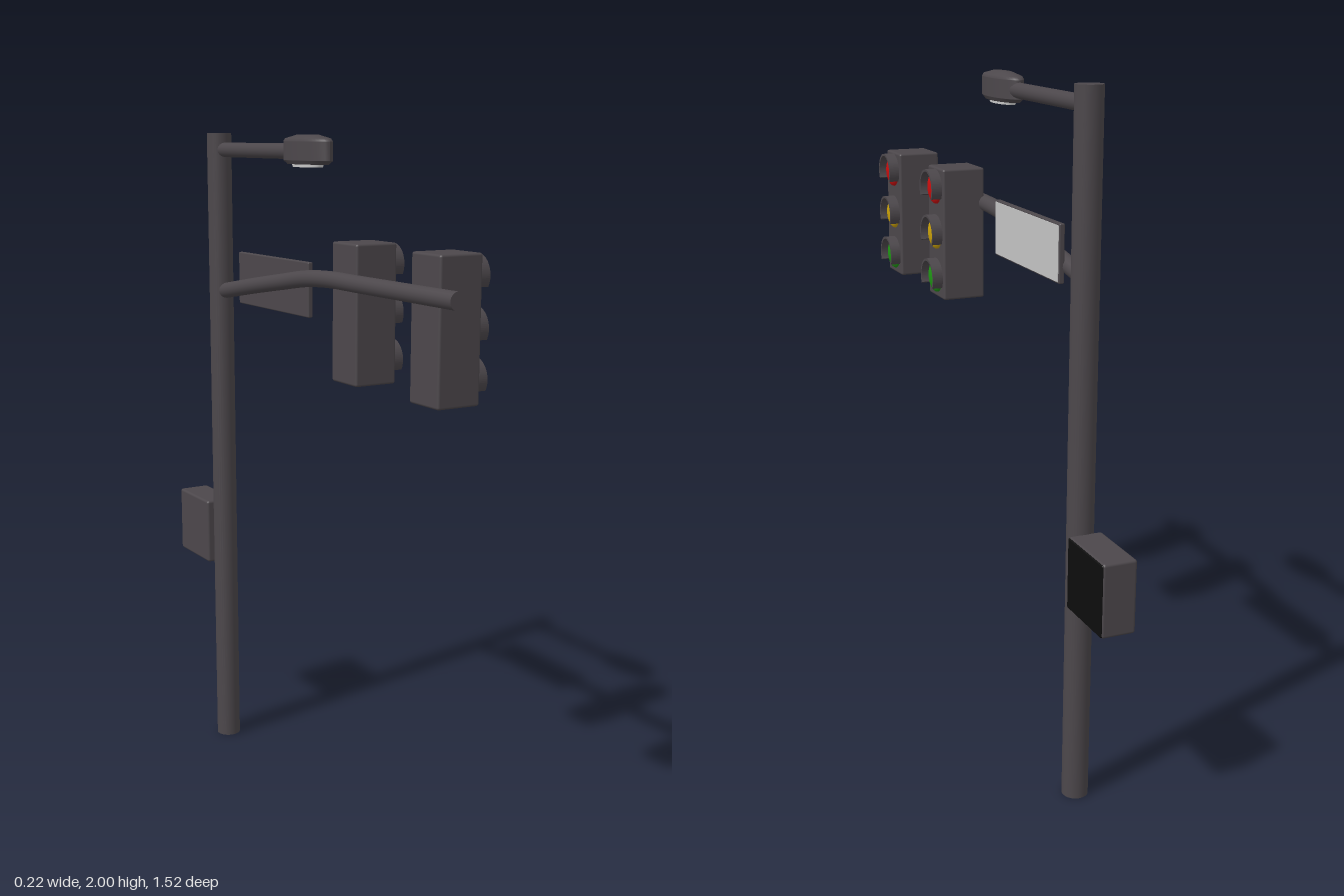
import * as THREE from 'three';
import { RoundedBoxGeometry } from 'three/addons/geometries/RoundedBoxGeometry.js';

const X = -0.06;        // line of the pole and both arms
const POLE_Z = -0.52;

const paint = (name, color) => {
  const m = new THREE.MeshStandardMaterial({ color });
  m.name = name;
  return m;
};

function add(parent, name, geometry, material, x = 0, y = 0, z = 0) {
  const mesh = new THREE.Mesh(geometry, material);
  mesh.name = name;
  mesh.position.set(x, y, z);
  parent.add(mesh);
  return mesh;
}

// Signal head facing local +z
function signalHead(mats) {
  const head = new THREE.Group();
  add(head, 'signalHousing', new RoundedBoxGeometry(0.13, 0.39, 0.13, 2, 0.007), mats.metal);

  // Hood: a ring open at the bottom
  const a0 = -Math.PI * 0.17, a1 = Math.PI * 1.17;
  const ring = new THREE.Shape();
  ring.absarc(0, 0, 0.055, a0, a1, false);
  ring.absarc(0, 0, 0.048, a1, a0, true);
  ring.closePath();
  const hood = new THREE.ExtrudeGeometry(ring, { depth: 0.034, bevelEnabled: false, curveSegments: 24 });

  // Shallow domed lens
  const dome = new THREE.SphereGeometry(0.048, 28, 8, 0, Math.PI * 2, 0, Math.PI / 2);
  dome.rotateX(Math.PI / 2);
  dome.scale(1, 1, 0.4);

  [['red', 0.135], ['yellow', 0], ['green', -0.132]].forEach(([colour, y]) => {
    add(head, colour + 'Hood', hood, mats.metal, 0, y, 0.062);
    add(head, colour + 'Lens', dome, mats[colour], 0, y, 0.065);
  });
  return head;
}

export function createModel() {
  const model = new THREE.Group();
  model.name = 'trafficSignalPole';
  const mats = {
    metal: paint('dark metal', 0x4c474b),
    black: paint('black panel', 0x0d0d0d),
    sign: paint('sign grey', 0xc4c4c4),
    lamp: paint('lamp glass', 0xdcdcdc),
    red: paint('signal red', 0xcc0e0e),
    yellow: paint('signal yellow', 0xcca208),
    green: paint('signal green', 0x1f9614),
  };

  // Pole
  add(model, 'pole', new THREE.CylinderGeometry(0.038, 0.038, 2, 32), mats.metal, X, 1, POLE_Z);

  // Signal arm: rises from the pole, then runs level
  const path = new THREE.CatmullRomCurve3([
    [1.512, -0.51], [1.522, -0.45], [1.547, -0.3], [1.575, -0.12], [1.597, 0.03],
    [1.605, 0.16], [1.605, 0.3], [1.605, 0.55], [1.605, 0.76],
  ].map(([y, z]) => new THREE.Vector3(X, y, z)));
  add(model, 'signalArm', new THREE.TubeGeometry(path, 60, 0.024, 16), mats.metal);
  add(model, 'signalArmCap', new THREE.CircleGeometry(0.024, 16), mats.metal, X, 1.605, 0.76);

  // Two signal heads facing +x
  [0.22, 0.61].forEach((z, i) => {
    const head = signalHead(mats);
    head.name = 'signalHead' + (i + 1);
    head.rotation.y = Math.PI / 2;
    head.position.set(0.011, 1.515, z);
    model.add(head);
  });

  // Street sign with a thin dark frame
  add(model, 'signBoard', new RoundedBoxGeometry(0.016, 0.16, 0.435, 2, 0.004), mats.metal, -0.034, 1.56, -0.215);
  add(model, 'signFace', new THREE.BoxGeometry(0.003, 0.15, 0.425), mats.sign, -0.026, 1.56, -0.215);

  // Street lamp arm
  const lampArm = new THREE.CylinderGeometry(0.022, 0.022, 0.46, 16);
  lampArm.rotateX(Math.PI / 2);
  add(model, 'lampArm', lampArm, mats.metal, X, 1.95, -0.29);

  // Oval lamp head with a glass underneath
  const profile = [[0, -0.04], [0.85, -0.04], [1, -0.03], [1, 0.022], [0.93, 0.03], [0.45, 0.04], [0, 0.041]];
  // Repeated inner points keep the rim edges crisp
  const crisp = profile.flatMap(([r, y], i) =>
    i > 0 && i < 4 ? [[r, y - 0.0005], [r, y + 0.0005]] : [[r, y]]);
  const headShell = new THREE.LatheGeometry(crisp.map(([r, y]) => new THREE.Vector2(r, y)), 40);
  headShell.scale(0.038, 1, 0.122);
  headShell.computeVertexNormals();
  add(model, 'lampHead', headShell, mats.metal, X, 1.956, 0.032);
  const glass = new THREE.CylinderGeometry(1, 0.92, 0.009, 32);
  glass.scale(0.027, 1, 0.078);
  add(model, 'lampGlass', glass, mats.lamp, X, 1.912, 0.032);

  // Control cabinet beside the pole, black door on +x
  add(model, 'controlCabinet', new RoundedBoxGeometry(0.1, 0.21, 0.21, 2, 0.008), mats.metal, X, 0.71, -0.655);
  const door = new RoundedBoxGeometry(0.008, 0.204, 0.204, 2, 0.0035);
  add(model, 'cabinetDoor', door, mats.black, X + 0.048, 0.71, -0.655);

  return model;
}
